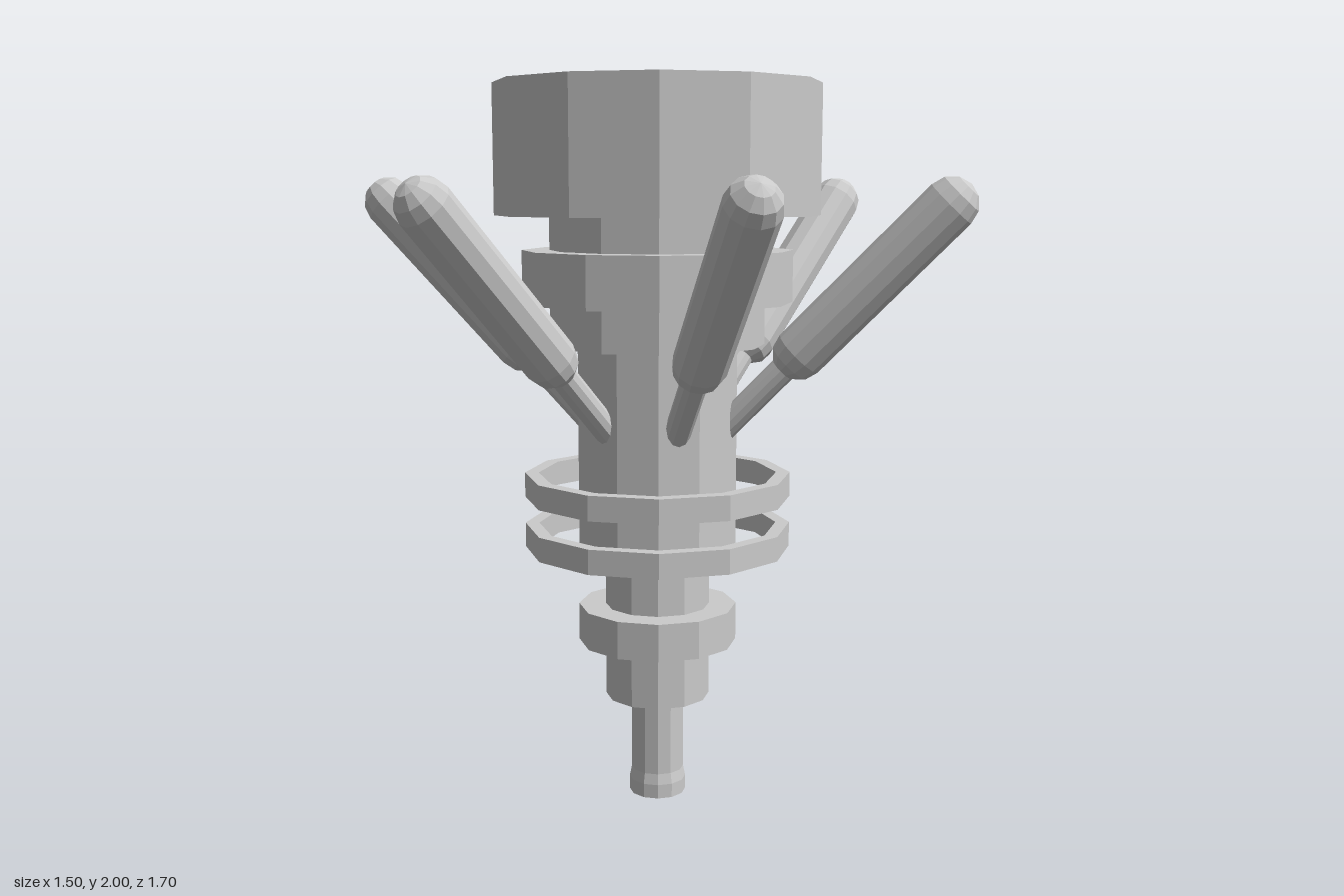
import * as THREE from 'three';

const SIDES = 12;
const STEP = Math.PI / SIDES;
const material = new THREE.MeshStandardMaterial({ color: 0xcccccc, flatShading: true });

function mesh(name, geometry) {
  const m = new THREE.Mesh(geometry, material);
  m.name = name;
  return m;
}

// Twelve-sided turned part from [flat-to-centre distance, y] pairs, flats facing x and z
function turned(name, profile) {
  const points = profile.map(([r, y]) => new THREE.Vector2(r / Math.cos(STEP), y));
  return mesh(name, new THREE.LatheGeometry(points, SIDES, STEP));
}

const prism = (name, r, y0, y1) => turned(name, [[0, y0], [r, y0], [r, y1], [0, y1]]);

const hoop = (name, inner, outer, y0, y1) =>
  turned(name, [[inner, y0], [outer, y0], [outer, y1], [inner, y1], [inner, y0]]);

// Place a y-aligned geometry between two points
function align(m, a, b) {
  m.position.copy(a).add(b).multiplyScalar(0.5);
  m.quaternion.setFromUnitVectors(new THREE.Vector3(0, 1, 0), b.clone().sub(a).normalize());
  return m;
}

// Thin rod leaving the body, ending in a thick rounded handle
function createArm() {
  const arm = new THREE.Group();
  arm.name = 'arm';
  const root = new THREE.Vector3(0, 1.03, 0.155);
  const low = new THREE.Vector3(0, 1.274, 0.392);
  const high = new THREE.Vector3(0, 1.672, 0.782);
  arm.add(align(mesh('armRod', new THREE.CylinderGeometry(0.036, 0.036, root.distanceTo(low), SIDES)), root, low));
  arm.add(align(mesh('armHandle', new THREE.CapsuleGeometry(0.072, low.distanceTo(high), 3, SIDES)), low, high));
  return arm;
}

export function createModel() {
  const model = new THREE.Group();
  model.name = 'model';

  // Stepped central column, bottom to top
  model.add(
    turned('stem', [[0, 0], [0.077, 0], [0.077, 0.04], [0.071, 0.07], [0.071, 0.3], [0, 0.3]]),
    prism('lowerShaft', 0.141, 0.29, 0.73),
    prism('lowerCollar', 0.214, 0.45, 0.555),
    prism('body', 0.212, 0.72, 1.3),
    prism('neck', 0.284, 1.29, 1.65),
    prism('neckCollar', 0.357, 1.406, 1.547),
    prism('head', 0.428, 1.64, 1.99),
    prism('headCap', 0.284, 1.98, 2)
  );

  // Free-standing hoops around the body
  for (const y of [0.72, 0.863]) model.add(hoop('hoop', 0.32, 0.357, y, y + 0.068));

  // Six arms fanned around the column
  for (let i = 0; i < 6; i++) {
    const arm = createArm();
    arm.rotation.y = (i * Math.PI) / 3;
    model.add(arm);
  }
  return model;
}
